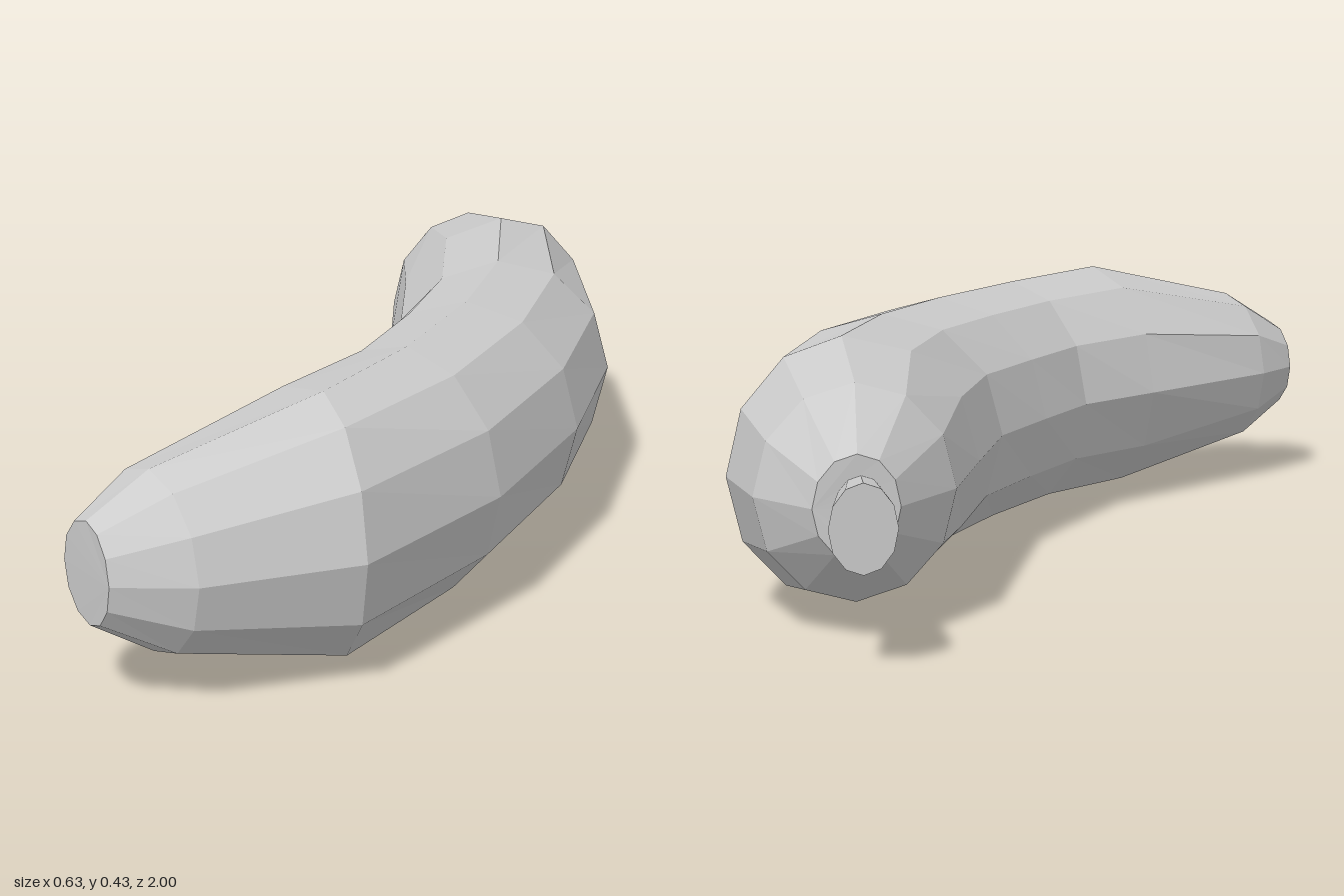
import * as THREE from 'three';

const SIDES = 12;
const MID_Y = 0.22;

// Each ring: [inner x, inner z, centre x, centre z, outer x, outer z, half height]
const bodyRings = [
  [-0.265, 0.905, -0.205, 0.95, -0.15, 0.995, 0.084],
  [-0.25, 0.79, -0.135, 0.872, -0.022, 0.955, 0.148],
  [-0.148, 0.45, 0.057, 0.63, 0.183, 0.785, 0.217],
  [-0.09, 0.26, 0.1, 0.345, 0.287, 0.43, 0.213],
  [-0.093, 0.07, 0.11, 0.05, 0.313, 0.05, 0.212],
  [-0.1, -0.13, 0.085, -0.225, 0.272, -0.32, 0.213],
  [-0.175, -0.38, 0.0, -0.53, 0.127, -0.685, 0.215],
  [-0.25, -0.62, -0.125, -0.72, 0.0, -0.82, 0.172],
  [-0.24, -0.79, -0.187, -0.83, -0.13, -0.868, 0.082],
];
const stemRings = [
  [-0.215, -0.79, -0.183, -0.812, -0.151, -0.834, 0.047],
  [-0.313, -0.94, -0.271, -0.97, -0.229, -1.0, 0.068],
];

// Skins a row of rings running from front to back and caps both ends
function loft(rings, name) {
  const pts = rings.map(([ix, iz, cx, cz, ox, oz, h]) =>
    Array.from({ length: SIDES }, (_, i) => {
      const a = (i / SIDES) * Math.PI * 2;
      const c = Math.cos(a);
      const t = Math.abs(c);
      const [ex, ez] = c > 0 ? [ox, oz] : [ix, iz];
      return [cx + (ex - cx) * t, MID_Y + Math.sin(a) * h, cz + (ez - cz) * t];
    }));
  const pos = [];
  const tri = (a, b, c) => pos.push(...a, ...b, ...c);
  const first = pts[0];
  const last = pts[pts.length - 1];
  for (let i = 0; i < SIDES; i++) {
    const j = (i + 1) % SIDES;
    for (let k = 0; k < pts.length - 1; k++) {
      tri(pts[k][i], pts[k + 1][i], pts[k][j]);
      tri(pts[k][j], pts[k + 1][i], pts[k + 1][j]);
    }
    if (i > 0 && j > 0) {
      tri(first[0], first[i], first[j]);
      tri(last[0], last[j], last[i]);
    }
  }
  const geo = new THREE.BufferGeometry();
  geo.setAttribute('position', new THREE.Float32BufferAttribute(pos, 3));
  geo.computeVertexNormals();
  const mesh = new THREE.Mesh(geo, new THREE.MeshStandardMaterial({ color: 0xcccccc, flatShading: true }));
  mesh.name = name;
  return mesh;
}

export function createModel() {
  const banana = new THREE.Group();
  banana.name = 'banana';
  banana.add(loft(bodyRings, 'fruitBody'), loft(stemRings, 'stem'));
  return banana;
}
